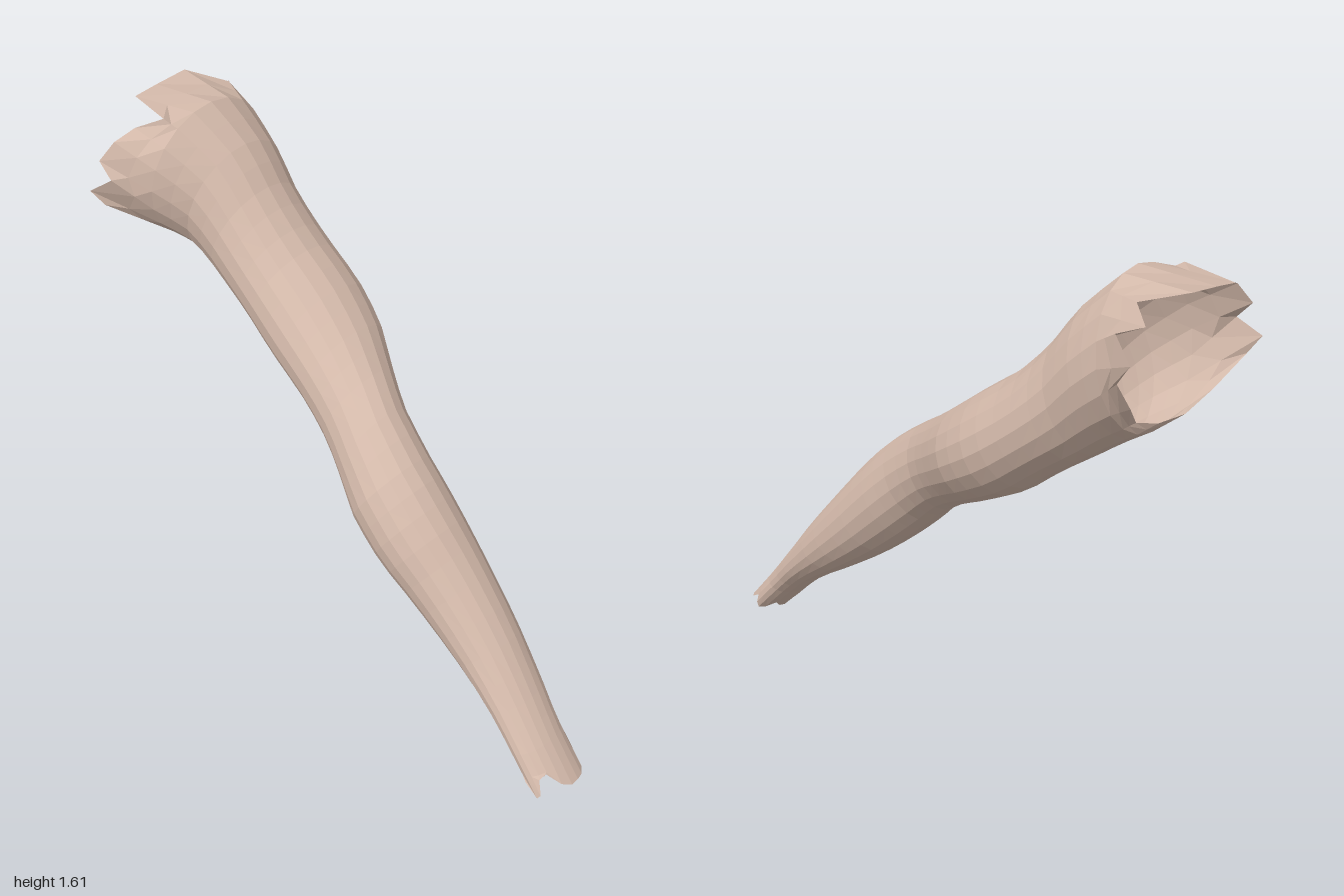
import * as THREE from 'three';

const SIDES = 20;
const RINGS = 30;

// Cross-sections from shoulder to wrist: top x, y, bottom x, y, back z, front z
const SECTIONS = [
  [-0.75, 1.62, -0.82, 1.15, -0.29, 0.18],
  [-0.62, 1.50, -0.75, 1.11, -0.275, 0.115],
  [-0.52, 1.375, -0.66, 1.05, -0.26, 0.10],
  [-0.40, 1.26, -0.53, 0.965, -0.26, 0.105],
  [-0.26, 1.165, -0.40, 0.87, -0.255, 0.12],
  [-0.13, 1.075, -0.25, 0.795, -0.215, 0.14],
  [0.00, 0.99, -0.12, 0.73, -0.13, 0.17],
  [0.12, 0.92, 0.00, 0.66, -0.06, 0.22],
  [0.27, 0.82, 0.10, 0.575, -0.025, 0.27],
  [0.38, 0.72, 0.21, 0.485, -0.015, 0.28],
  [0.50, 0.59, 0.34, 0.39, 0.00, 0.265],
  [0.65, 0.425, 0.50, 0.29, 0.025, 0.26],
  [0.78, 0.275, 0.66, 0.195, 0.06, 0.27],
  [0.88, 0.165, 0.77, 0.11, 0.09, 0.285],
  [0.985, 0.05, 0.88, 0.01, 0.10, 0.30],
];

// Torn shoulder edge, from the top round by the front, underside and back
const SHOULDER_EDGE = [
  [-1, 1.60, -0.05], [-1, 1.59, 0.04], [-0.80, 1.60, 0.10], [-0.88, 1.56, 0.15],
  [-0.90, 1.53, 0.22], [-0.93, 1.47, 0.26], [-0.88, 1.42, 0.26], [-0.95, 1.37, 0.29],
  [-0.92, 1.32, 0.26], [-0.89, 1.24, 0.14], [-0.87, 1.19, 0.03], [-0.84, 1.18, -0.06],
  [-0.82, 1.20, -0.14], [-0.84, 1.26, -0.20], [-0.84, 1.35, -0.27], [-0.90, 1.42, -0.30],
  [-0.85, 1.50, -0.30], [-0.95, 1.54, -0.31], [-0.88, 1.58, -0.25], [-1, 1.61, -0.17],
];

// How far each point of the wrist edge is torn back
const WRIST_CUTS = [0, 0.02, 0.07, 0.06, 0.01, 0, 0.05, 0.01, 0, 0.03,
  0, 0.01, 0.04, 0.01, 0, 0.02, 0.05, 0.01, 0, 0];

function curveOf(pick) {
  return new THREE.CatmullRomCurve3(SECTIONS.map((s) => new THREE.Vector3(...pick(s))));
}

// Skins a list of closed rings of points
function loft(rings) {
  const index = [];
  for (let r = 0; r < rings.length - 1; r++) {
    for (let i = 0; i < SIDES; i++) {
      const j = (i + 1) % SIDES;
      const a = r * SIDES + i, b = r * SIDES + j;
      const c = a + SIDES, d = b + SIDES;
      index.push(a, c, b, b, c, d);
    }
  }
  const geometry = new THREE.BufferGeometry().setFromPoints(rings.flat());
  geometry.setIndex(index);
  geometry.computeVertexNormals();
  return geometry;
}

export function createModel() {
  const skin = new THREE.MeshStandardMaterial({
    name: 'skin', color: 0xd2b8a9, flatShading: true, side: THREE.DoubleSide,
  });

  const topLine = curveOf((s) => [s[0], s[1], 0]);
  const bottomLine = curveOf((s) => [s[2], s[3], 0]);
  const depthLine = curveOf((s) => [s[4], s[5], 0]);

  // Oval rings along the arm
  const rings = [];
  for (let r = 0; r <= RINGS; r++) {
    const t = r / RINGS;
    const top = topLine.getPoint(t), bottom = bottomLine.getPoint(t), depth = depthLine.getPoint(t);
    const centre = top.clone().add(bottom).multiplyScalar(0.5);
    centre.z = (depth.x + depth.y) / 2;
    const up = top.clone().sub(bottom).multiplyScalar(0.5);
    const halfDepth = (depth.y - depth.x) / 2;
    rings.push(Array.from({ length: SIDES }, (_, i) => {
      const angle = (i / SIDES) * Math.PI * 2;
      const p = centre.clone().addScaledVector(up, Math.cos(angle));
      p.z += halfDepth * Math.sin(angle);
      return p;
    }));
  }

  // Ragged wrist opening
  const along = new THREE.Vector3(-0.68, 0.73, 0);
  rings[RINGS].forEach((p, i) => p.addScaledVector(along, WRIST_CUTS[i]));

  // Flared, ragged shoulder opening with one ring easing into it
  const edge = SHOULDER_EDGE.map((p) => new THREE.Vector3(...p));
  const flare = edge.map((p, i) => rings[0][i].clone().lerp(p, 0.45));
  rings.unshift(edge, flare);

  const arm = new THREE.Mesh(loft(rings), skin);
  arm.name = 'arm';

  const group = new THREE.Group();
  group.name = 'armModel';
  group.add(arm);
  return group;
}
